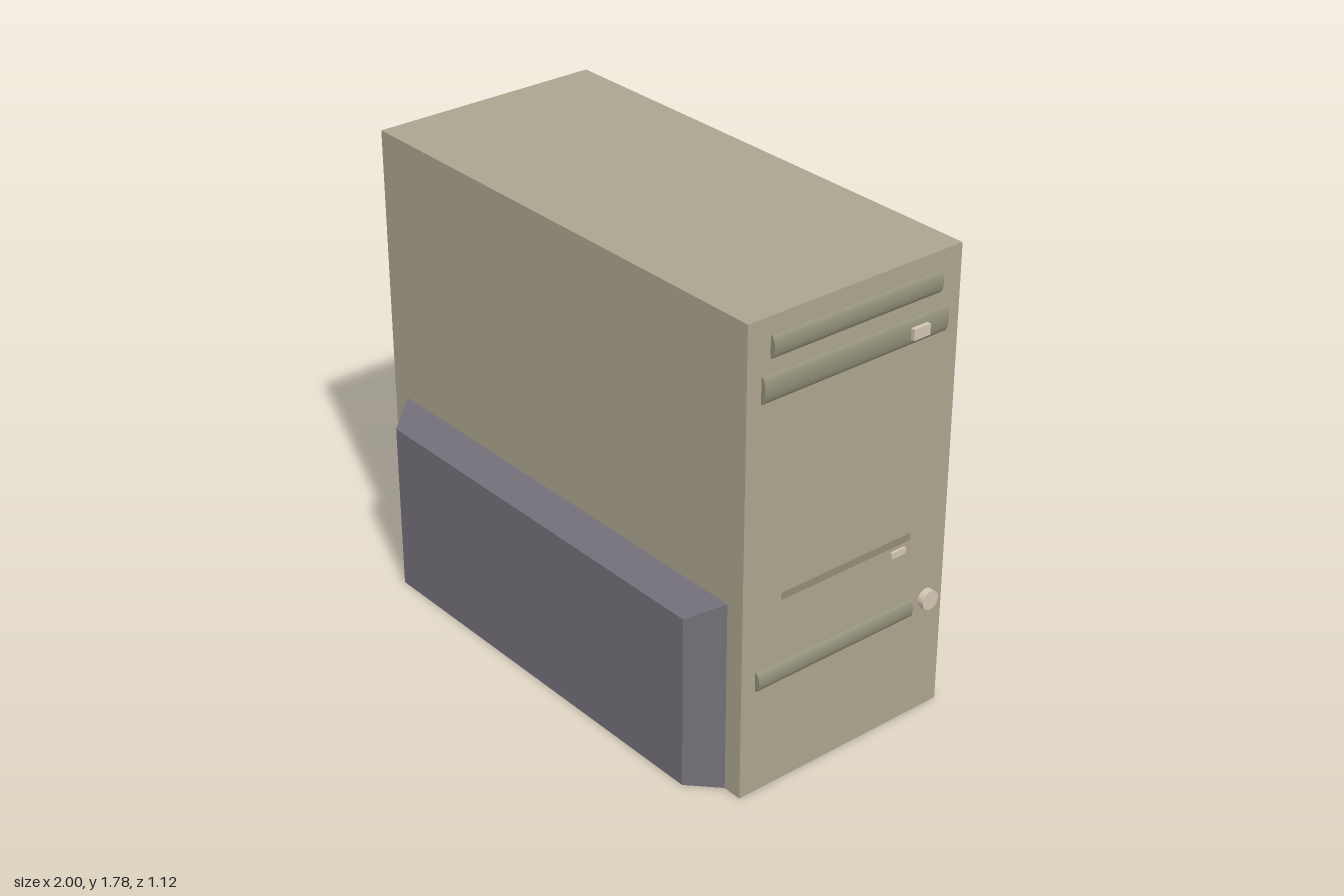
import * as THREE from 'three';
import { ConvexGeometry } from 'three/addons/geometries/ConvexGeometry.js';

const paint = (color) => new THREE.MeshStandardMaterial({ color });
const FACE = 0.965; // x of the panel that carries the drives
const SIDE = 0.46; // half width of the case

export function createModel() {
  const model = new THREE.Group();
  const beige = paint(0xaca58f);
  const grey = paint(0x74717a);
  const olive = paint(0x918f78);
  const cream = paint(0xd4c6b2);

  function add(name, geometry, material) {
    const mesh = new THREE.Mesh(geometry, material);
    mesh.name = name;
    model.add(mesh);
    return mesh;
  }

  // Box given by its limits on each axis
  function block(name, x0, x1, y0, y1, z0, z1, material) {
    add(name, new THREE.BoxGeometry(x1 - x0, y1 - y0, z1 - z0), material)
      .position.set((x0 + x1) / 2, (y0 + y1) / 2, (z0 + z1) / 2);
  }

  // Half-elliptical bar bulging out of the drive face, lying along z
  function bay(name, y0, y1, z0, z1) {
    const bar = new THREE.CylinderGeometry(1, 1, z1 - z0, 16, 1, false, 0, Math.PI);
    bar.rotateX(Math.PI / 2);
    bar.scale(0.02, (y1 - y0) / 2, 1);
    add(name, bar, olive).position.set(FACE, (y0 + y1) / 2, (z0 + z1) / 2);
  }

  // Case
  block('case', -1, FACE, 0, 1.785, -SIDE, SIDE, beige);

  // Chamfered stand panels on both sides
  for (const s of [1, -1]) {
    const points = [];
    for (const [x0, x1, top, z] of [[-0.925, 0.89, 0.74, SIDE], [-0.86, 0.785, 0.67, 0.56]]) {
      for (const x of [x0, x1]) {
        for (const y of [0, top]) points.push(new THREE.Vector3(x, y, s * z));
      }
    }
    add(s > 0 ? 'frontSidePanel' : 'backSidePanel', new ConvexGeometry(points), grey);
  }

  // Drive bays
  bay('upperDrive', 1.637, 1.72, -0.363, 0.365);
  bay('lowerDrive', 1.487, 1.586, -0.396, 0.4);
  bay('powerBar', 0.41, 0.485, -0.305, 0.4);

  // Disk slot
  block('diskSlot', FACE - 0.01, FACE + 0.004, 0.727, 0.755, -0.288, 0.291, olive);

  // Buttons
  block('driveButton', FACE, 1, 1.517, 1.557, -0.298, -0.226, cream);
  block('diskButton', FACE, 0.975, 0.686, 0.71, -0.265, -0.2, cream);
  const power = new THREE.CylinderGeometry(0.037, 0.037, 0.026, 24);
  power.rotateZ(-Math.PI / 2);
  add('powerButton', power, cream).position.set(FACE + 0.013, 0.455, -0.383);

  return model;
}
